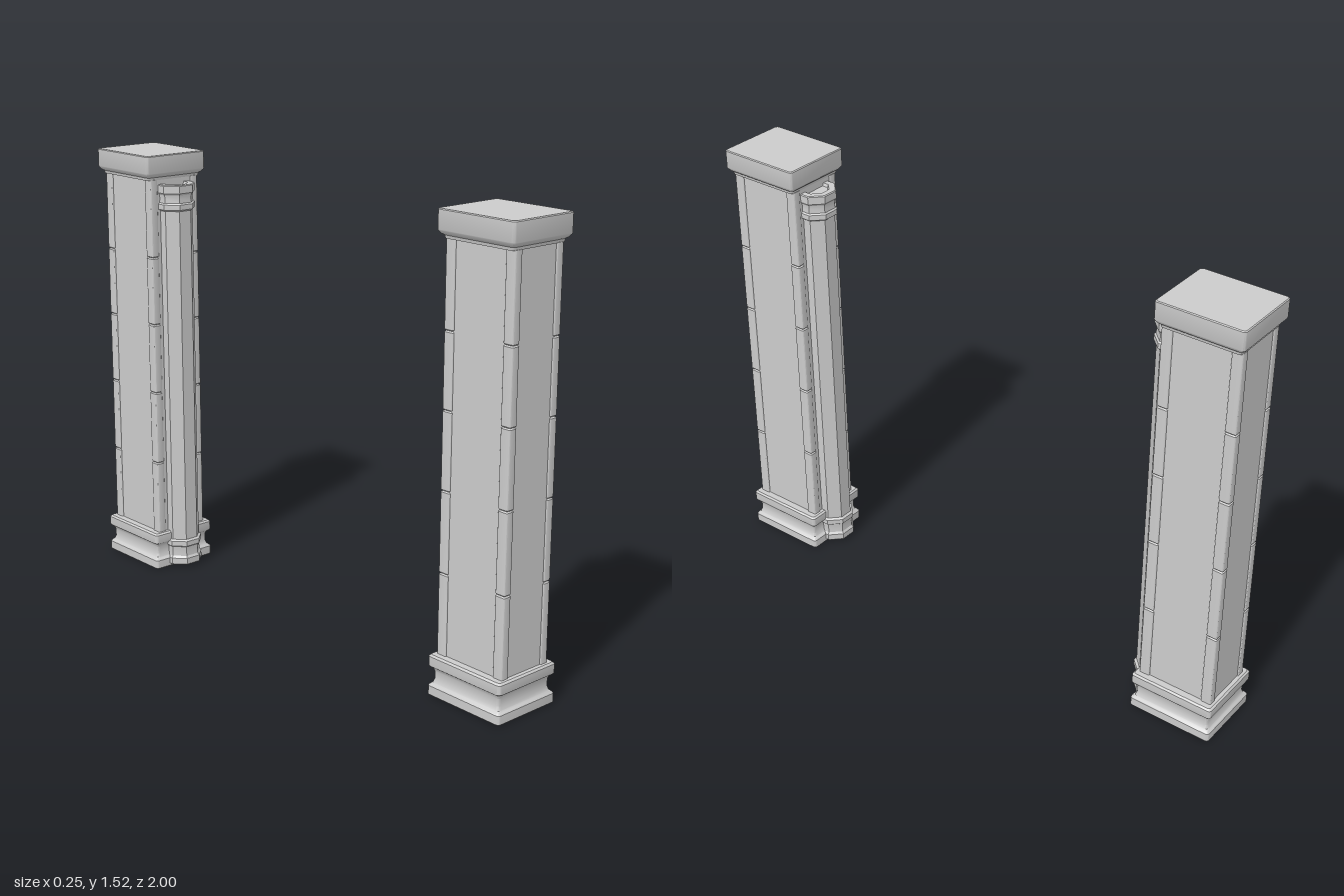
import * as THREE from 'three';
import { toCreasedNormals } from 'three/addons/utils/BufferGeometryUtils.js';

const material = new THREE.MeshStandardMaterial({ color: 0xcccccc });

// Lofts rounded rectangles along y; profile rows are [y, inset from hx/hz].
function loftRect(hx, hz, radius, profile) {
  const cornerSteps = 3;
  const pos = [], idx = [];
  const n = 4 * (cornerSteps + 1);
  for (const [y, inset] of profile) {
    for (let c = 0; c < 4; c++) {
      const sx = c === 0 || c === 3 ? 1 : -1, sz = c < 2 ? 1 : -1;
      for (let s = 0; s <= cornerSteps; s++) {
        const a = (c + s / cornerSteps) * Math.PI / 2;
        pos.push(
          sx * (hx - inset - radius) + radius * Math.cos(a), y,
          sz * (hz - inset - radius) + radius * Math.sin(a));
      }
    }
  }
  for (let r = 0; r < profile.length - 1; r++) {
    for (let i = 0; i < n; i++) {
      const a = r * n + i, b = r * n + (i + 1) % n;
      idx.push(a, a + n, b, b, a + n, b + n);
    }
  }
  // Flat end caps
  const top = (profile.length - 1) * n;
  for (let i = 1; i < n - 1; i++) {
    idx.push(0, i, i + 1, top, top + i + 1, top + i);
  }
  const geo = new THREE.BufferGeometry();
  geo.setAttribute('position', new THREE.Float32BufferAttribute(pos, 3));
  geo.setIndex(idx);
  return toCreasedNormals(geo, 0.6);
}

function add(parent, name, geo, x = 0, y = 0, z = 0) {
  const mesh = new THREE.Mesh(geo, material);
  mesh.name = name;
  mesh.position.set(x, y, z);
  parent.add(mesh);
  return mesh;
}

// One pillar centred on its own axis, with its half column on the -z side.
function createPillar() {
  const pillar = new THREE.Group();

  // Moulded plinth
  add(pillar, 'base', loftRect(0.127, 0.15, 0.01, [
    [0, 0.003], [0.003, 0], [0.032, 0], [0.037, 0.004], [0.042, 0.01],
    [0.055, 0.014], [0.08, 0.014], [0.091, 0.01], [0.097, 0.002],
    [0.1, 0], [0.13, 0], [0.136, 0.006]]));

  // Overhanging cap
  add(pillar, 'cap', loftRect(0.127, 0.15, 0.01, [
    [1.437, 0.016], [1.447, 0.014], [1.451, 0.008], [1.46, 0.001],
    [1.463, 0], [1.522, 0], [1.525, 0.003]]));

  // Slightly recessed core
  add(pillar, 'shaft', new THREE.BoxGeometry(0.194, 1.32, 0.262), 0, 0.785, 0);

  // Corner posts, divided into courses by fine bevelled joints
  const joints = [0.13, 0.403, 0.668, 0.92, 1.163, 1.442];
  const hx = 0.0145, hz = 0.0185;
  for (let i = 0; i < joints.length - 1; i++) {
    const y0 = joints[i], y1 = joints[i + 1];
    const block = loftRect(hx, hz, 0.004, [
      [y0, 0.004], [y0 + 0.004, 0], [y1 - 0.004, 0], [y1, 0.004]]);
    for (const sx of [1, -1]) {
      for (const sz of [1, -1]) {
        add(pillar, 'cornerBlock', block, sx * (0.102 - hx), 0, sz * (0.135 - hz));
      }
    }
  }

  // Octagonal half column: rows are [distance to flat face, y]
  const column = [
    [0, 0.008], [0.064, 0.008], [0.068, 0.012], [0.068, 0.034], [0.062, 0.042],
    [0.061, 0.06], [0.063, 0.078], [0.068, 0.082], [0.068, 0.1], [0.06, 0.106],
    [0.06, 1.328], [0.068, 1.334], [0.068, 1.352], [0.063, 1.357],
    [0.061, 1.372], [0.063, 1.385], [0.068, 1.392], [0.068, 1.418],
    [0.065, 1.421], [0.045, 1.421], [0.041, 1.411], [0, 1.411]
  ].map(([a, y]) => new THREE.Vector2(a / Math.cos(Math.PI / 8), y));
  const columnGeo = toCreasedNormals(
    new THREE.LatheGeometry(column, 8, Math.PI / 8).toNonIndexed(), 0.3);
  add(pillar, 'halfColumn', columnGeo, 0, 0, -0.135);

  return pillar;
}

export function createModel() {
  const model = new THREE.Group();
  model.name = 'gatePillars';

  // Two pillars facing each other across the opening
  const front = createPillar();
  front.name = 'frontPillar';
  front.position.z = 0.85;

  const back = createPillar();
  back.name = 'backPillar';
  back.position.z = -0.85;
  back.rotation.y = Math.PI;

  model.add(front, back);
  return model;
}
